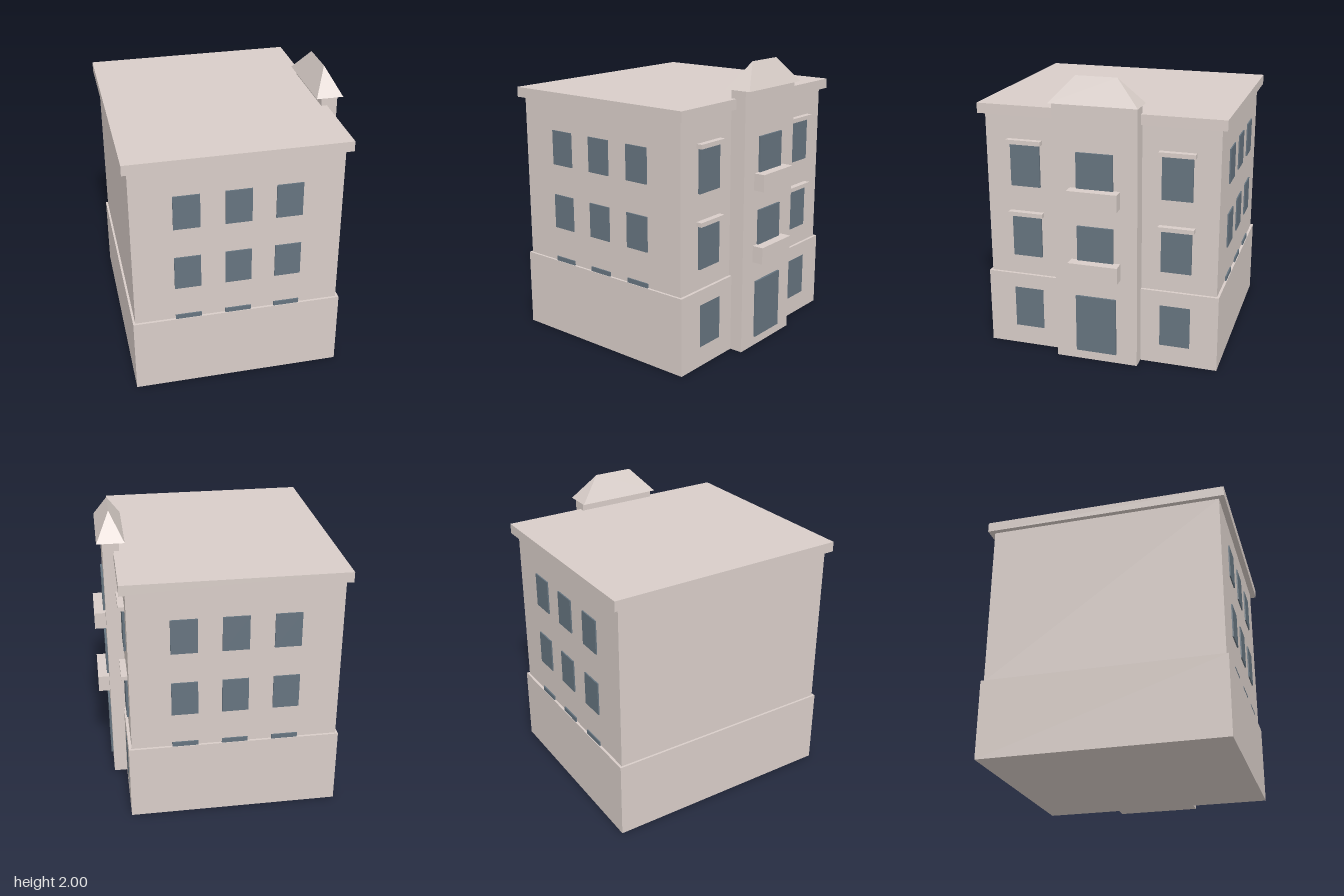
import * as THREE from 'three';
import { ConvexGeometry } from 'three/addons/geometries/ConvexGeometry.js';

export function createModel() {
  const model = new THREE.Group();
  model.name = 'townHouse';
  const stone = new THREE.MeshStandardMaterial({ name: 'stone', color: 0xd8cdc8 });
  const glass = new THREE.MeshStandardMaterial({ name: 'glass', color: 0x66747f });

  // Box given by its limits on each axis
  function block(name, material, [x0, x1], [y0, y1], [z0, z1]) {
    const mesh = new THREE.Mesh(new THREE.BoxGeometry(x1 - x0, y1 - y0, z1 - z0), material);
    mesh.position.set((x0 + x1) / 2, (y0 + y1) / 2, (z0 + z1) / 2);
    mesh.name = name;
    model.add(mesh);
  }
  const zc = 0.002; // middle of the house in z
  const across = (half, centre = zc) => [centre - half, centre + half];

  // Main masses
  block('groundFloor', stone, [-0.8, 0.645], [0, 0.545], across(0.83));
  block('upperFloors', stone, [-0.785, 0.625], [0.545, 1.7], across(0.813));
  block('roofSlab', stone, [-0.82, 0.665], [1.7, 1.77], across(0.853));
  block('stairTower', stone, [0.625, 0.737], [0, 1.83], across(0.29));

  // Hipped tower roof
  const points = [];
  for (const s of [-1, 1]) {
    points.push(new THREE.Vector3(0.587, 1.827, zc + s * 0.302));
    points.push(new THREE.Vector3(0.775, 1.827, zc + s * 0.302));
    points.push(new THREE.Vector3(0.681, 2, zc + s * 0.14));
  }
  const towerRoof = new THREE.Mesh(new ConvexGeometry(points), stone);
  towerRoof.name = 'towerRoof';
  model.add(towerRoof);

  // Three rows of windows on the front and back; the lowest row is mostly sunk behind the ground floor
  for (const side of [-1, 1]) {
    const z = zc + side * 0.818;
    for (const x of [-0.42, -0.077, 0.262]) {
      for (const y of [0.335, 0.795, 1.255]) {
        block(side > 0 ? 'frontWindow' : 'backWindow', glass, [x - 0.089, x + 0.089], [y, y + 0.242], across(0.0045, z + side * 0.003));
      }
    }
  }

  // Windows beside the tower, with lintels on the upper floors
  for (const side of [-1, 1]) {
    const z = zc + side * 0.531;
    block('groundWindow', glass, [0.641, 0.6465], [0.14, 0.44], across(0.106, z));
    for (const y of [0.687, 1.2]) {
      block('sideWindow', glass, [0.62, 0.64], [y, y + 0.295], across(0.105, z));
      block('lintel', stone, [0.62, 0.667], [y + 0.3, y + 0.33], across(0.123, z));
    }
  }

  // Tower door, windows and solid balconies
  block('door', glass, [0.73, 0.751], [0.068, 0.484], across(0.143));
  for (const y of [0.632, 1.143]) {
    block('towerWindow', glass, [0.73, 0.751], [y + 0.07, y + 0.364], across(0.127));
    block('balcony', stone, [0.73, 0.816], [y, y + 0.118], across(0.173));
  }
  return model;
}
